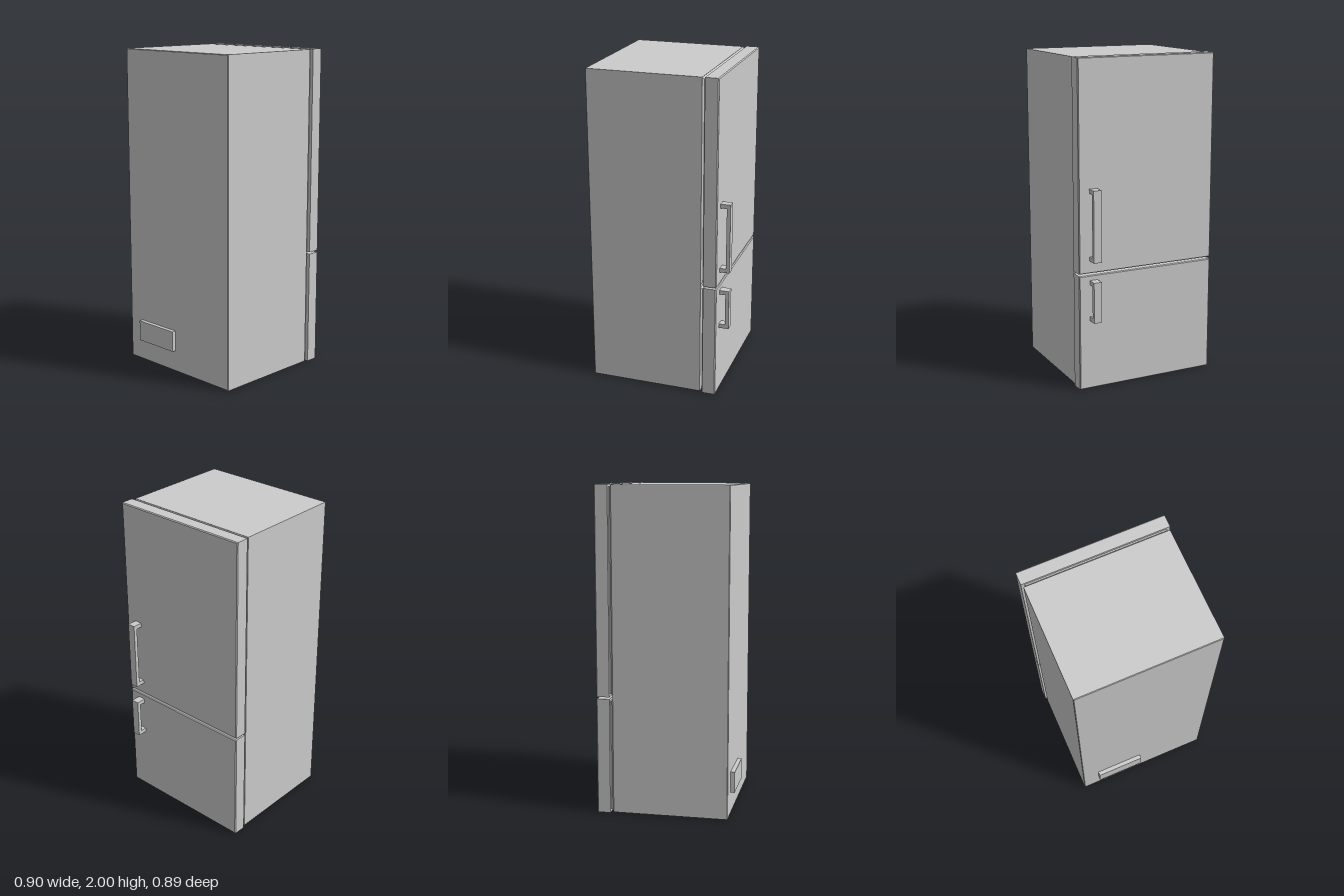
import * as THREE from 'three';

const material = new THREE.MeshStandardMaterial({ color: 0xcccccc, flatShading: true });

// Rectangular block lofted through [z, inset] sections, listed with z rising
function loftBlock(halfW, y0, y1, sections) {
  const loops = sections.map(([z, i]) => [
    [-halfW + i, y0 + i, z], [halfW - i, y0 + i, z],
    [halfW - i, y1 - i, z], [-halfW + i, y1 - i, z],
  ]);
  const pos = [];
  const quad = (a, b, c, d) => pos.push(...a, ...b, ...c, ...a, ...c, ...d);
  const first = loops[0], last = loops[loops.length - 1];
  quad(first[3], first[2], first[1], first[0]);
  quad(...last);
  for (let s = 0; s < loops.length - 1; s++) {
    for (let k = 0; k < 4; k++) {
      const n = (k + 1) % 4;
      quad(loops[s][k], loops[s][n], loops[s + 1][n], loops[s + 1][k]);
    }
  }
  const geo = new THREE.BufferGeometry();
  geo.setAttribute('position', new THREE.Float32BufferAttribute(pos, 3));
  geo.computeVertexNormals();
  return geo;
}

// Square C-shaped pull, drawn in the z-y plane and extruded across x
function handleGeometry(y0, y1) {
  const back = 0.386, inner = 0.426, outer = 0.449, post = 0.026;
  const shape = new THREE.Shape([
    [back, y0], [outer, y0], [outer, y1], [back, y1],
    [back, y1 - post], [inner, y1 - post], [inner, y0 + post], [back, y0 + post],
  ].map(([u, v]) => new THREE.Vector2(u, v)));
  const geo = new THREE.ExtrudeGeometry(shape, { depth: 0.05, bevelEnabled: false });
  geo.rotateY(Math.PI / 2); // shape x becomes -z, depth becomes +x
  geo.translate(0.331, 0, 0);
  return geo;
}

export function createModel() {
  const model = new THREE.Group();
  const add = (name, geo, parent = model) => {
    const mesh = new THREE.Mesh(geo, material);
    mesh.name = name;
    parent.add(mesh);
    return mesh;
  };

  // Cabinet with a fine bevel round the plain panel
  add('cabinet', loftBlock(0.44, 0.003, 1.998, [[-0.287, 0], [0.416, 0], [0.42, 0.004]]));

  // Each compartment: bevelled cabinet rim, seal, door and handle
  const compartments = [
    { name: 'lower', y0: 0, y1: 0.715, h0: 0.432, h1: 0.683 },
    { name: 'upper', y0: 0.727, y1: 2, h0: 0.803, h1: 1.238 },
  ];
  for (const { name, y0, y1, h0, h1 } of compartments) {
    const group = new THREE.Group();
    group.name = name + 'Compartment';
    model.add(group);
    add(name + 'Rim', loftBlock(0.44, y0 + 0.003, y1 - 0.002, [[-0.297, 0.013], [-0.286, 0]]), group);
    add(name + 'Seal', loftBlock(0.427, y0 + 0.016, y1 - 0.015, [[-0.308, 0], [-0.296, 0]]), group);
    add(name + 'Door', loftBlock(0.449, y0, y1, [[-0.388, 0.005], [-0.382, 0], [-0.306, 0]]), group);
    add(name + 'Handle', handleGeometry(h0, h1), group);
  }

  // Small service cover on the plain panel
  const cover = add('serviceCover', new THREE.BoxGeometry(0.31, 0.13, 0.028));
  cover.position.set(-0.176, 0.204, 0.432);

  return model;
}
